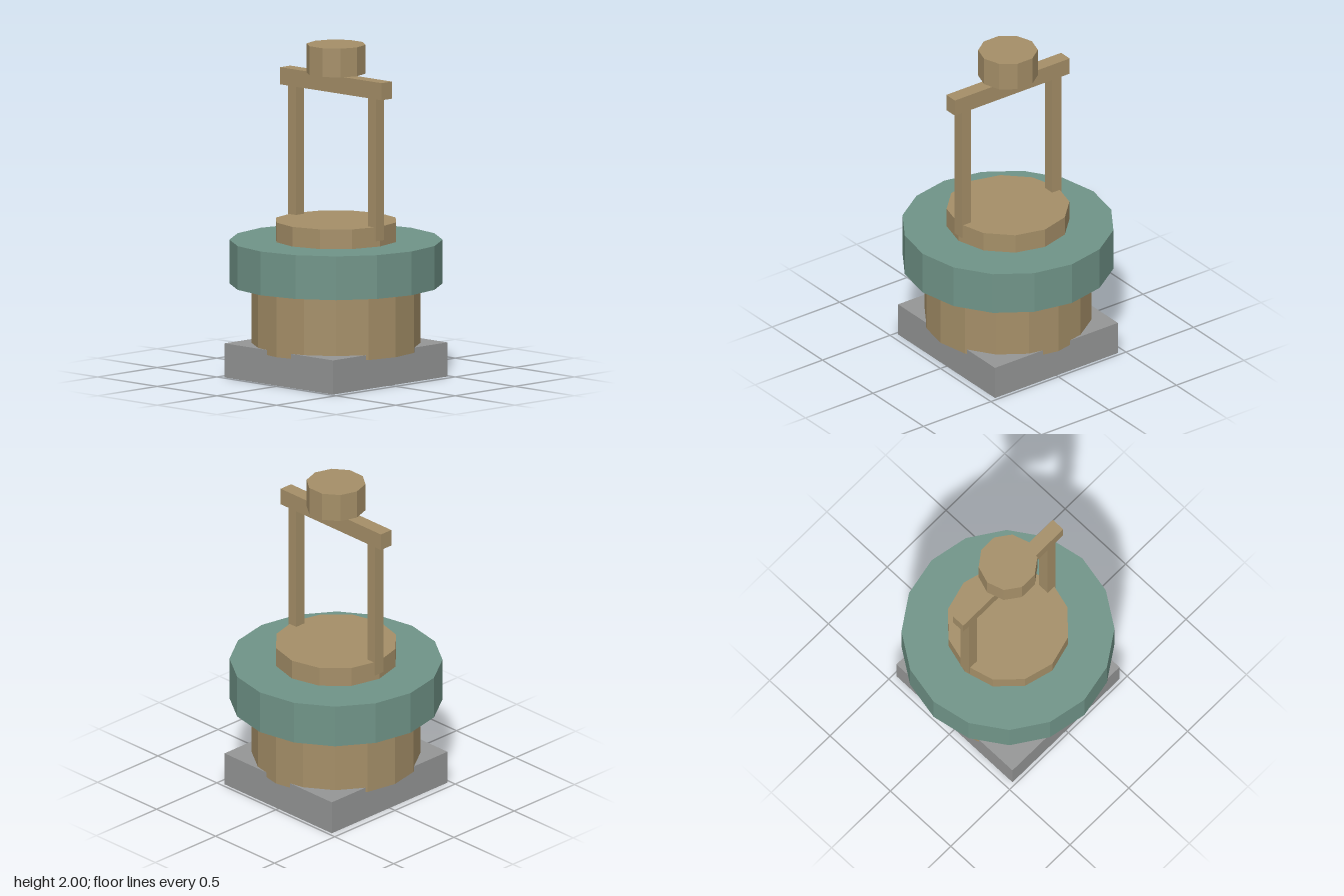
import * as THREE from 'three';

export function createModel() {
  const model = new THREE.Group();
  model.name = 'lanternTower';

  const material = (name, color) => {
    const m = new THREE.MeshStandardMaterial({ color, flatShading: true });
    m.name = name;
    return m;
  };
  const wood = material('wood', 0xa58f68);
  const teal = material('teal', 0x709488);
  const stone = material('stone', 0x959696);

  const add = (name, geometry, mat, x, y) => {
    const mesh = new THREE.Mesh(geometry, mat);
    mesh.name = name;
    mesh.position.set(x, y, 0);
    model.add(mesh);
    return mesh;
  };
  // Parts are placed by their bottom and top heights
  const box = (name, mat, x, w, d, y0, y1) =>
    add(name, new THREE.BoxGeometry(w, y1 - y0, d), mat, x, (y0 + y1) / 2);
  const drum = (name, mat, r, sides, y0, y1) =>
    add(name, new THREE.CylinderGeometry(r, r, y1 - y0, sides), mat, 0, (y0 + y1) / 2);

  // Plinth and stacked drums
  box('base', stone, 0, 0.91, 0.96, 0, 0.205);
  drum('body', wood, 0.5, 16, 0.175, 0.565);
  drum('rim', teal, 0.632, 16, 0.562, 0.825);
  drum('cap', wood, 0.367, 12, 0.82, 0.943);

  // Frame of two posts and a crossbeam
  for (const side of [-1, 1]) {
    box(side > 0 ? 'leftPost' : 'rightPost', wood, side * 0.335, 0.067, 0.07, 0.86, 1.717);
  }
  box('crossbeam', wood, 0, 0.85, 0.086, 1.715, 1.818);

  // Ten-sided knob floating just above the beam, a corner towards each side
  drum('knob', wood, 0.177, 10, 1.827, 2).rotation.y = Math.PI / 2;

  return model;
}
